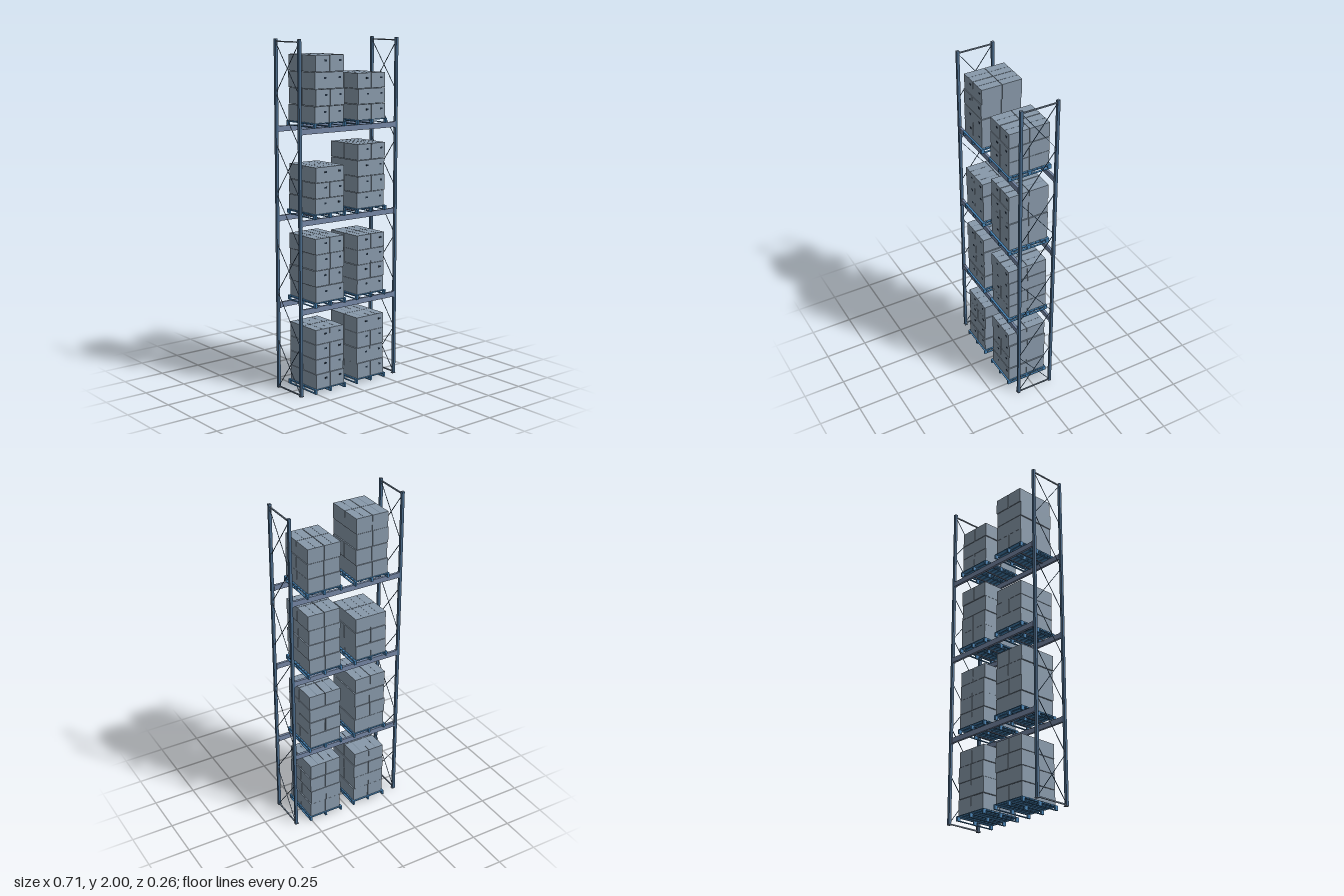
import * as THREE from 'three';

const paint = (color) => new THREE.MeshStandardMaterial({ color });
const postBlue = paint(0x4a6a8a);
const beamBlue = paint(0x7486a4);
const strutGrey = paint(0x76879a);
const palletBlue = paint(0x4682b4);
const cartonGrey = paint(0x8899aa);
const seamGrey = paint(0x657585);
const holeDark = paint(0x1c2a3a);

function box(parent, name, mat, w, h, d, x, y, z) {
  const m = new THREE.Mesh(new THREE.BoxGeometry(w, h, d), mat);
  m.name = name;
  m.position.set(x, y, z);
  parent.add(m);
  return m;
}

// Thin bar between two (y, z) points in a side frame
function bar(parent, name, t, x, y0, z0, y1, z1) {
  const m = box(parent, name, postBlue, t, t, Math.hypot(y1 - y0, z1 - z0), x, (y0 + y1) / 2, (z0 + z1) / 2);
  m.rotation.x = -Math.atan2(y1 - y0, z1 - z0);
}

// Side frame: two posts, foot plates, struts, alternating cross and single braces
function sideFrame(side) {
  const g = new THREE.Group();
  g.name = side > 0 ? 'leftFrame' : 'rightFrame';
  const x = side * 0.347, z = 0.108;
  for (const s of [1, -1]) {
    box(g, 'post', postBlue, 0.016, 2, 0.016, side * 0.346, 1, s * z);
    box(g, 'postCap', strutGrey, 0.014, 0.001, 0.014, side * 0.346, 2, s * z);
    box(g, 'footPlate', strutGrey, 0.023, 0.004, 0.018, side * 0.344, 0.002, s * z);
  }
  for (const y of [0.008, 1.985]) box(g, 'strut', strutGrey, 0.007, 0.007, 2 * z, x, y, 0);
  const bays = 7, step = 1.977 / bays;
  for (let i = 0; i < bays; i++) {
    const y0 = 0.008 + i * step, y1 = y0 + step;
    bar(g, 'brace', 0.003, x - 0.0015, y0, z, y1, -z);
    if (i % 2 === 0) bar(g, 'crossBrace', 0.003, x + 0.0015, y0, -z, y1, z);
  }
  return g;
}

// Pallet: slatted deck, stringer boards, nine blocks and three runners
function pallet() {
  const g = new THREE.Group();
  g.name = 'pallet';
  const slats = 9, depth = 0.264, pitch = depth / slats;
  for (let i = 0; i < slats; i++)
    box(g, 'deckBoard', palletBlue, 0.22, 0.004, pitch - 0.006, 0, 0.025, (i - (slats - 1) / 2) * (depth - pitch + 0.006) / (slats - 1));
  for (const x of [-0.104, 0, 0.104]) {
    box(g, 'stringer', palletBlue, 0.011, 0.004, depth, x, 0.021, 0);
    box(g, 'runner', palletBlue, 0.011, 0.004, depth, x, 0.002, 0);
    for (const z of [-0.122, 0, 0.122]) box(g, 'block', palletBlue, 0.011, 0.015, 0.02, x, 0.0115, z);
  }
  return g;
}

// Carton with a seam strip along the lid and a hand hole on the front
function carton(w, h, d) {
  const g = new THREE.Group();
  g.name = 'carton';
  box(g, 'cartonBody', cartonGrey, w, h, d, 0, h / 2, 0);
  box(g, 'lidSeam', seamGrey, 0.003, 0.001, d, 0, h, 0);
  box(g, 'handHole', holeDark, 0.016, 0.01, 0.002, 0.021, h * 0.66, d / 2);
  return g;
}

// Layers of four cartons, each layer nudged a little
function cartonStack(layers, height, seed) {
  const g = new THREE.Group();
  g.name = 'cartonStack';
  const h = height / layers;
  for (let i = 0; i < layers; i++)
    for (const sx of [-1, 1])
      for (const sz of [-1, 1]) {
        const c = carton(0.0985, h - 0.0025, 0.1215);
        const n = seed * 7 + i * 3;
        c.position.set(sx * 0.0505 + 0.0025 * Math.sin(n + sx * 0.4), i * h, sz * 0.062 - 0.001 + 0.002 * Math.cos(n * 1.7));
        g.add(c);
      }
  return g;
}

export function createModel() {
  const root = new THREE.Group();
  root.name = 'palletRack';
  root.add(sideFrame(1), sideFrame(-1));

  // Each level: base height, then [layers, stack height] for the -x and +x pallets
  const levels = [
    [0, [4, 0.350], [4, 0.371]],
    [0.507, [4, 0.369], [4, 0.350]],
    [1.012, [3, 0.264], [4, 0.370]],
    [1.518, [4, 0.371], [3, 0.264]],
  ];
  levels.forEach(([y, ...loads], n) => {
    // Load beams with end brackets, and support bars under the pallets
    if (n > 0) {
      for (const z of [-0.108, 0.108]) {
        box(root, 'beam', beamBlue, 0.674, 0.031, 0.014, 0, y - 0.0155, z);
        for (const s of [-1, 1]) box(root, 'beamBracket', beamBlue, 0.006, 0.036, 0.017, s * 0.334, y - 0.0155, z);
      }
      for (const x of [-0.2, -0.1, 0.1, 0.2]) box(root, 'supportBar', beamBlue, 0.008, 0.005, 0.204, x, y - 0.003, 0);
    }
    loads.forEach(([layers, height], i) => {
      const load = new THREE.Group();
      load.name = 'palletLoad';
      const stack = cartonStack(layers, height, n * 2 + i + 1);
      stack.position.y = 0.027;
      load.add(pallet(), stack);
      load.position.set(i ? 0.15 : -0.15, y, 0);
      root.add(load);
    });
  });
  return root;
}
